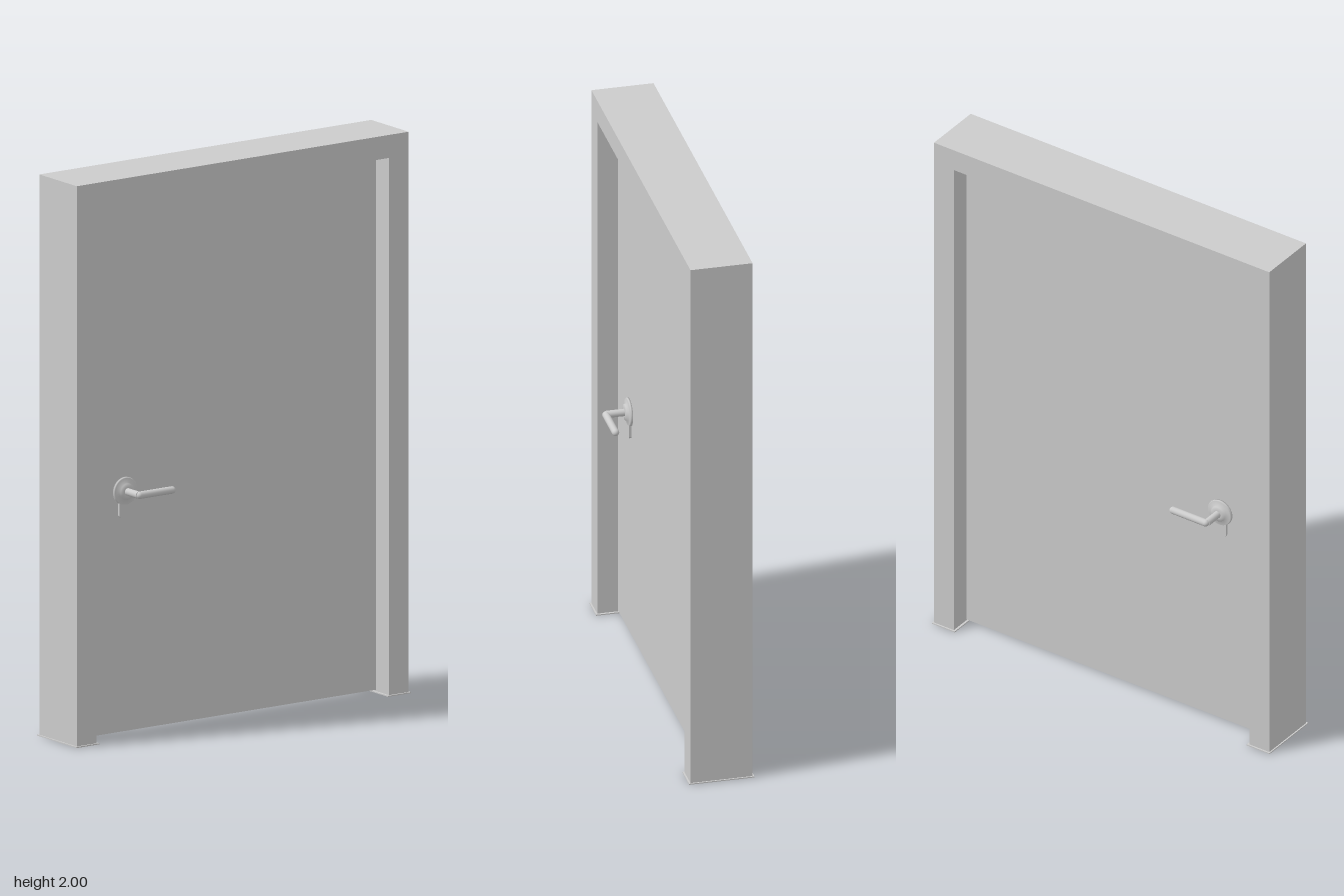
import * as THREE from 'three';

const material = new THREE.MeshStandardMaterial({ color: 0xcccccc });

function add(parent, name, geometry, x = 0, y = 0, z = 0) {
  const mesh = new THREE.Mesh(geometry, material);
  mesh.name = name;
  mesh.position.set(x, y, z);
  parent.add(mesh);
  return mesh;
}

// Lever handle for the +x face of the door, with its origin on the spindle axis
function createHandle() {
  const handle = new THREE.Group();

  // Round rose and raised collar, turned about x
  const profile = [[0, 0], [0.05, 0], [0.05, 0.006], [0.047, 0.01], [0.031, 0.01],
    [0.029, 0.018], [0.016, 0.02], [0, 0.02]].map(([r, h]) => new THREE.Vector2(r, h));
  const rose = add(handle, 'rose', new THREE.LatheGeometry(profile, 32));
  rose.rotation.z = -Math.PI / 2;

  // Lock escutcheon hanging below the rose
  const plate = new THREE.Shape();
  plate.moveTo(-0.028, -0.03);
  plate.lineTo(-0.028, -0.084);
  plate.quadraticCurveTo(-0.026, -0.095, 0, -0.096);
  plate.quadraticCurveTo(0.026, -0.095, 0.028, -0.084);
  plate.lineTo(0.028, -0.03);
  plate.closePath();
  const plateGeometry = new THREE.ExtrudeGeometry(plate, { depth: 0.009, bevelEnabled: false });
  add(handle, 'escutcheon', plateGeometry).rotation.y = Math.PI / 2;

  // Neck and round-ended grip
  const neck = add(handle, 'neck', new THREE.CylinderGeometry(0.013, 0.013, 0.085, 20), 0.0425);
  neck.rotation.z = Math.PI / 2;
  const grip = add(handle, 'grip', new THREE.CapsuleGeometry(0.013, 0.138, 8, 20), 0.086, 0, -0.072);
  grip.rotation.x = Math.PI / 2;
  return handle;
}

export function createModel() {
  const door = new THREE.Group();
  door.name = 'door';

  // Frame: two jambs joined by a head, open at the bottom
  const outline = new THREE.Shape();
  [[-0.71, 0], [-0.626, 0], [-0.626, 1.918], [0.626, 1.918], [0.626, 0], [0.71, 0], [0.71, 2], [-0.71, 2]]
    .forEach(([z, y], i) => (i ? outline.lineTo(z, y) : outline.moveTo(z, y)));
  outline.closePath();
  const frameGeometry = new THREE.ExtrudeGeometry(outline, { depth: 0.222, bevelEnabled: false });
  frameGeometry.translate(0, 0, -0.111).rotateY(Math.PI / 2);
  add(door, 'frame', frameGeometry);

  // Thin foot plates under the jambs
  for (const side of [-1, 1]) {
    add(door, 'footPlate', new THREE.BoxGeometry(0.234, 0.004, 0.097), 0, 0.002, side * 0.6665);
  }

  // Leaf with a narrow clearance all round
  add(door, 'leaf', new THREE.BoxGeometry(0.076, 1.904, 1.246), 0, 0.962, 0);

  // Matching handles on both faces, levers pointing the same way
  for (const side of [-1, 1]) {
    const handle = createHandle();
    handle.name = side > 0 ? 'leftHandle' : 'rightHandle';
    handle.position.set(side * 0.038, 0.866, 0.453);
    handle.scale.x = side;
    door.add(handle);
  }
  return door;
}
